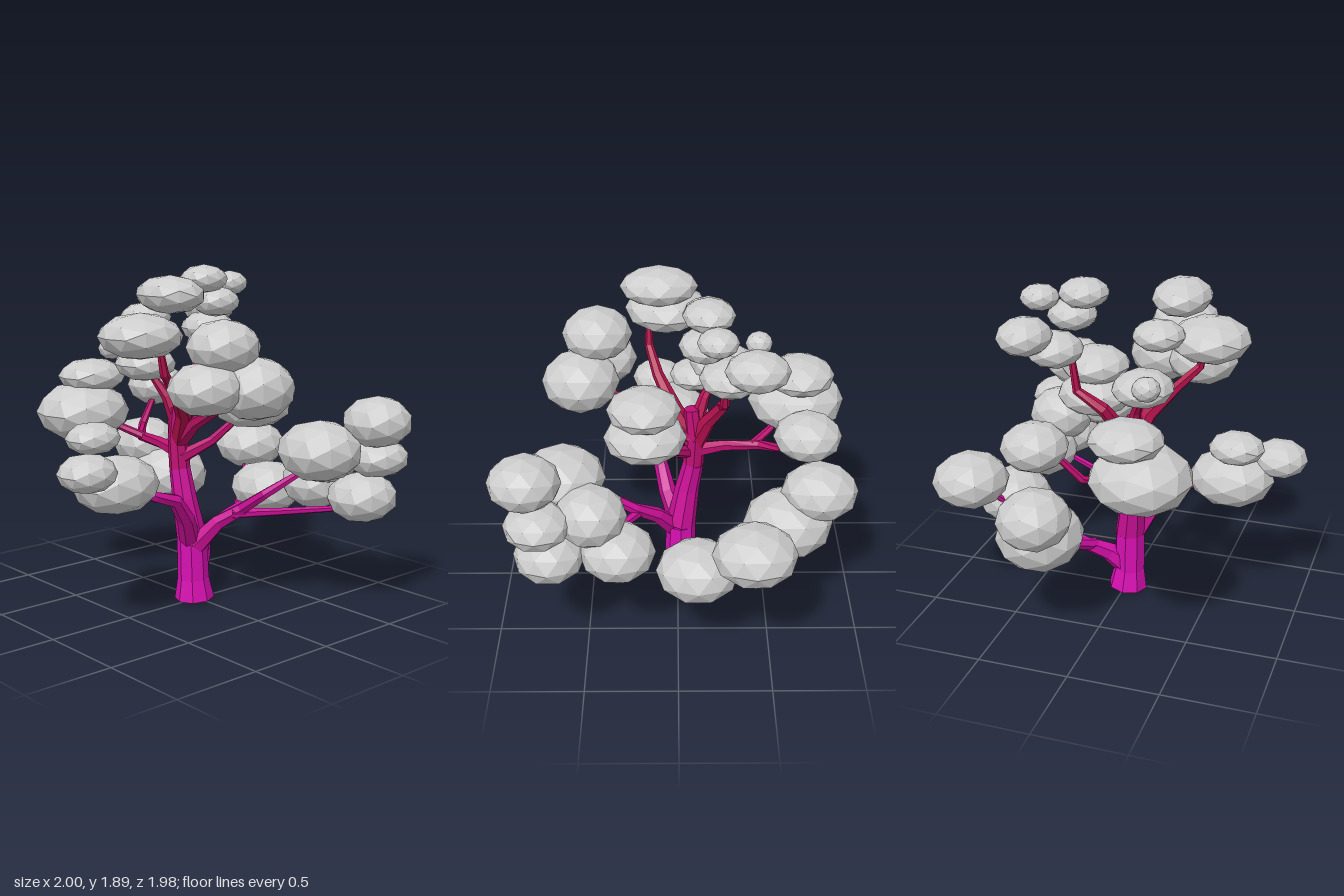
import * as THREE from 'three';

const UP = new THREE.Vector3(0, 1, 0);
const LOW = new THREE.Color(0xdc10bc);
const HIGH = new THREE.Color(0xb01040);

// Bark shifts from magenta at the base to crimson at the top.
function barkMaterial(height) {
  const color = LOW.clone().lerp(HIGH, Math.min(1, height / 1.25));
  return new THREE.MeshStandardMaterial({ color, flatShading: true });
}

// Tapered, bent limb through rings [x, y, z, radius].
function limb(name, rings, sides = 6) {
  const n = rings.length - 1;
  const geo = new THREE.CylinderGeometry(1, 1, 1, sides, n);
  const pts = rings.map(([x, y, z]) => new THREE.Vector3(x, y, z));
  const turns = pts.map((p, i) => {
    const dir = pts[Math.min(n, i + 1)].clone().sub(pts[Math.max(0, i - 1)]).normalize();
    return new THREE.Quaternion().setFromUnitVectors(UP, dir);
  });
  const pos = geo.attributes.position;
  const v = new THREE.Vector3();
  for (let i = 0; i < pos.count; i++) {
    const k = Math.round((pos.getY(i) + 0.5) * n);
    v.set(pos.getX(i), 0, pos.getZ(i)).multiplyScalar(rings[k][3]);
    v.applyQuaternion(turns[k]).add(pts[k]);
    pos.setXYZ(i, v.x, v.y, v.z);
  }
  geo.computeVertexNormals();
  const mid = (pts[0].y + pts[n].y) / 2;
  const mesh = new THREE.Mesh(geo, barkMaterial(mid));
  mesh.name = name;
  return mesh;
}

// Foliage clumps: x, y, z, radius x, radius y, radius z.
const CLUMPS = {
  crownRight: [
    [-0.28, 1.75, 0.1, 0.16, 0.1, 0.21],
    [-0.45, 1.54, 0.06, 0.22, 0.12, 0.23],
    [-0.21, 1.5, 0.44, 0.195, 0.14, 0.19],
    [-0.32, 1.29, 0.43, 0.2, 0.14, 0.2],
    [-0.07, 1.28, 0.53, 0.21, 0.165, 0.21],
    [-0.23, 1.61, -0.17, 0.14, 0.08, 0.14],
    [-0.17, 1.34, -0.25, 0.165, 0.095, 0.18],
    [-0.25, 1.415, -0.455, 0.075, 0.065, 0.075],
  ],
  crownLeft: [
    [0.185, 1.8, -0.16, 0.135, 0.08, 0.135],
    [0.42, 1.765, -0.2, 0.105, 0.07, 0.105],
    [0.26, 1.67, -0.14, 0.135, 0.085, 0.135],
    [0.43, 1.61, -0.4, 0.145, 0.1, 0.165],
    [0.315, 1.51, -0.27, 0.155, 0.095, 0.16],
    [0.245, 1.28, 0.18, 0.195, 0.105, 0.195],
    [0.245, 1.11, 0.175, 0.215, 0.12, 0.22],
  ],
  sideRight: [
    [-0.65, 1.0, -0.1, 0.15, 0.085, 0.14],
    [-0.845, 0.875, 0.115, 0.155, 0.1, 0.155],
    [-0.6, 0.765, 0.03, 0.235, 0.155, 0.22],
  ],
  sideLeft: [
    [0.785, 0.735, -0.395, 0.21, 0.15, 0.22],
    [0.65, 0.53, -0.105, 0.21, 0.155, 0.22],
  ],
  frontLeft: [
    [0.33, 0.91, 0.62, 0.225, 0.165, 0.23],
    [0.6, 1.06, 0.79, 0.185, 0.14, 0.19],
    [0.675, 0.845, 0.73, 0.175, 0.11, 0.175],
    [0.62, 0.62, 0.68, 0.2, 0.14, 0.19],
    [0.63, 0.64, 0.32, 0.195, 0.15, 0.2],
    [0.57, 0.83, 0.46, 0.19, 0.16, 0.19],
  ],
  back: [
    [-0.295, 1.03, -0.68, 0.265, 0.17, 0.27],
    [-0.22, 1.23, -0.69, 0.195, 0.1, 0.19],
    [0.25, 0.76, -0.78, 0.195, 0.155, 0.21],
    [0.27, 1.13, -0.69, 0.175, 0.125, 0.18],
    [0.29, 0.58, -0.61, 0.235, 0.185, 0.245],
  ],
};

// Limbs as rings of x, y, z, radius.
const LIMBS = {
  sideRightLimb: [[-0.06, 0.36, 0, 0.06], [-0.14, 0.5, 0.06, 0.05], [-0.25, 0.63, 0.1, 0.04], [-0.38, 0.67, 0.09, 0.032], [-0.52, 0.74, 0.05, 0.025]],
  sideLeftLimb: [[0, 0.14, -0.02, 0.07], [0.09, 0.23, -0.07, 0.055], [0.2, 0.31, -0.16, 0.04], [0.38, 0.39, -0.17, 0.03], [0.55, 0.47, -0.13, 0.022]],
  sideLeftFork: [[0.45, 0.42, -0.16, 0.02], [0.6, 0.53, -0.26, 0.02], [0.72, 0.68, -0.36, 0.016]],
  backLowLimb: [[0.16, 0.29, -0.12, 0.04], [0.23, 0.36, -0.27, 0.032], [0.28, 0.43, -0.42, 0.028], [0.29, 0.5, -0.55, 0.02]],
  frontLeftLimb: [[-0.03, 0.32, 0.02, 0.06], [0.05, 0.46, 0.12, 0.045], [0.12, 0.55, 0.24, 0.035], [0.14, 0.66, 0.4, 0.028], [0.25, 0.78, 0.54, 0.02]],
  frontLeftFork: [[0.08, 0.52, 0.2, 0.03], [0.3, 0.525, 0.36, 0.022], [0.55, 0.53, 0.52, 0.018]],
  backLimb: [[-0.05, 0.84, -0.1, 0.045], [-0.05, 0.87, -0.26, 0.033], [-0.04, 0.88, -0.46, 0.028], [0.06, 0.92, -0.57, 0.024], [0.18, 1.06, -0.62, 0.018]],
  backFork: [[-0.04, 0.88, -0.42, 0.025], [-0.12, 0.93, -0.52, 0.022], [-0.22, 1.0, -0.62, 0.016]],
  crownLeftLimb: [[-0.06, 0.88, -0.1, 0.055], [-0.02, 1.05, -0.17, 0.045], [0.05, 1.19, -0.25, 0.035], [0.2, 1.28, -0.25, 0.026], [0.23, 1.48, -0.25, 0.018]],
  crownLeftFork: [[-0.06, 0.82, -0.07, 0.04], [0.08, 0.91, 0.03, 0.028], [0.2, 1.06, 0.14, 0.02]],
  crownRightLimb: [[-0.06, 0.92, -0.08, 0.055], [-0.12, 1.08, 0.02, 0.045], [-0.25, 1.22, 0.11, 0.032], [-0.37, 1.34, 0.16, 0.025], [-0.4, 1.48, 0.16, 0.018]],
  crownFrontLimb: [[-0.06, 0.93, -0.06, 0.05], [-0.08, 1.04, 0.08, 0.038], [-0.09, 1.13, 0.25, 0.03], [-0.09, 1.22, 0.42, 0.02]],
  crownBackLimb: [[-0.06, 1.0, -0.1, 0.045], [-0.1, 1.16, -0.15, 0.03], [-0.16, 1.3, -0.23, 0.018]],
};

export function createModel() {
  const tree = new THREE.Group();
  tree.name = 'tree';

  // Trunk in stacked lengths, leaning slightly back
  const trunk = new THREE.Group();
  trunk.name = 'trunk';
  trunk.add(
    limb('trunkBase', [[-0.012, 0, -0.015, 0.113], [-0.02, 0.12, -0.015, 0.09], [-0.025, 0.35, -0.02, 0.086]], 8),
    limb('trunkMiddle', [[-0.025, 0.35, -0.02, 0.086], [-0.05, 0.58, -0.055, 0.07], [-0.055, 0.75, -0.09, 0.06]], 8),
    limb('trunkTop', [[-0.055, 0.75, -0.09, 0.06], [-0.06, 0.92, -0.1, 0.058], [-0.07, 1.1, -0.08, 0.045]], 8),
  );
  tree.add(trunk);

  // Branches
  for (const [name, rings] of Object.entries(LIMBS)) tree.add(limb(name, rings));

  // Faceted foliage
  const leafGeo = new THREE.IcosahedronGeometry(1, 1);
  const leafMat = new THREE.MeshStandardMaterial({ color: 0xcccccc, flatShading: true });
  for (const [name, clumps] of Object.entries(CLUMPS)) {
    const cluster = new THREE.Group();
    cluster.name = name + 'Foliage';
    clumps.forEach(([x, y, z, rx, ry, rz], i) => {
      const clump = new THREE.Mesh(leafGeo, leafMat);
      clump.name = 'leafClump' + (i + 1);
      clump.position.set(x, y, z);
      clump.scale.set(rx, ry, rz).multiplyScalar(1.02);
      cluster.add(clump);
    });
    tree.add(cluster);
  }
  return tree;
}
